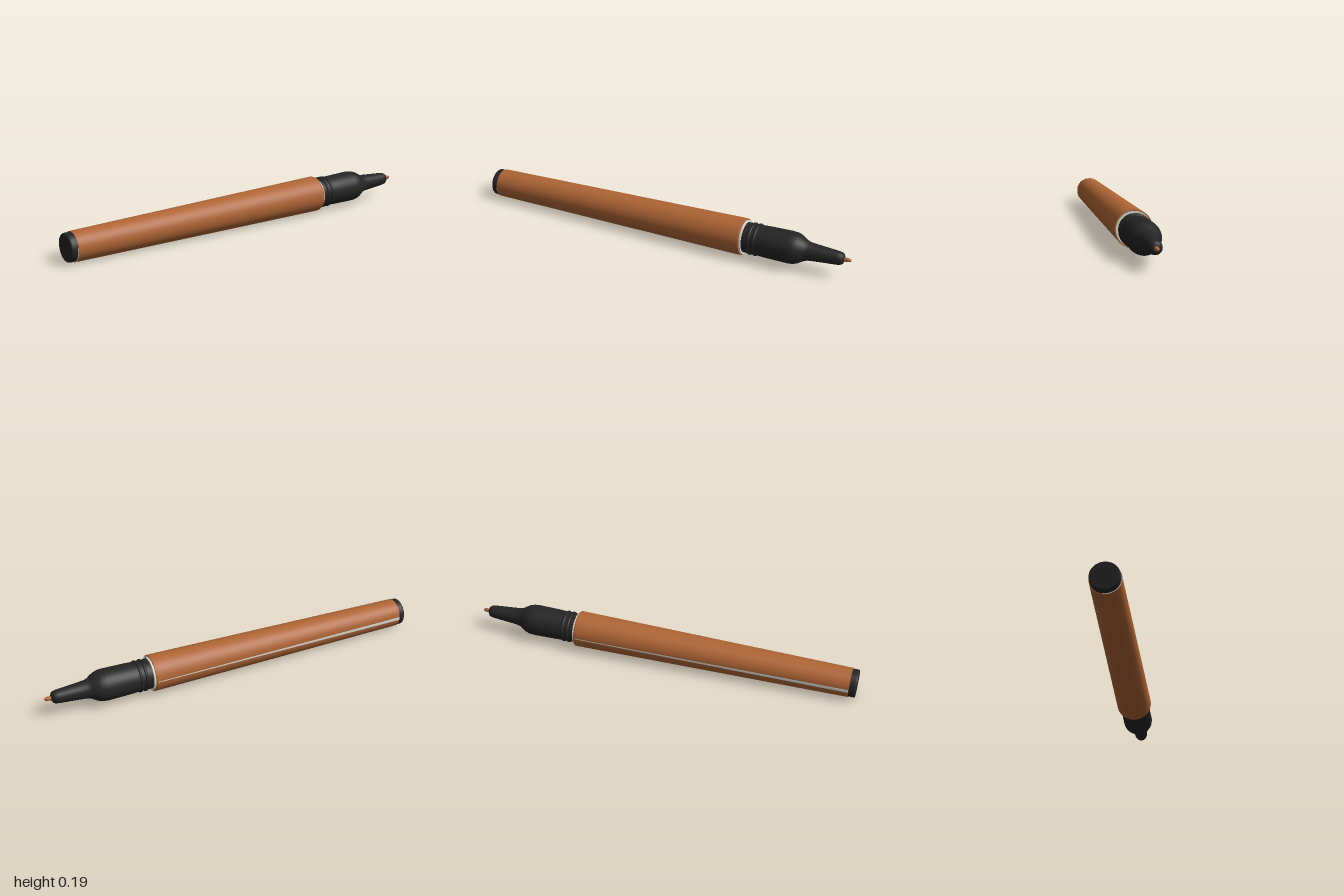
import * as THREE from 'three';

const SIDES = 40;

export function createModel() {
  const model = new THREE.Group();
  model.name = 'pen';

  const material = (name, color) => {
    const m = new THREE.MeshStandardMaterial({ color });
    m.name = name;
    return m;
  };
  const copper = material('copper', 0xb06635);
  const black = material('black', 0x252525);
  const white = material('white', 0xdededa);

  // Turned part: each profile is a list of [radius, distance from the rear end],
  // and a new profile starts a sharp edge
  const turned = (name, mat, profiles, start = 0, arc = Math.PI * 2, sides = SIDES) => {
    const part = new THREE.Group();
    part.name = name;
    for (const profile of profiles) {
      const points = profile.map(([r, s]) => new THREE.Vector2(r, s));
      const mesh = new THREE.Mesh(new THREE.LatheGeometry(points, sides, start, arc), mat);
      mesh.name = name;
      part.add(mesh);
    }
    model.add(part);
    return part;
  };

  // Rear plug
  turned('rearPlug', black, [
    [[0, 0], [0.067, 0]],
    [[0.067, 0], [0.07, 0.003], [0.071, 0.008], [0.071, 0.045]],
  ]);

  // Tapered barrel with flat ends
  turned('barrel', copper, [
    [[0.068, 0.034], [0.0745, 0.034]],
    [[0.0745, 0.034], [0.0938, 1.472]],
    [[0.0938, 1.472], [0.0925, 1.48]],
    [[0.0925, 1.48], [0.07, 1.48]],
  ]);

  // Pale lining showing at both ends of the barrel
  turned('rearLining', white, [[[0.07, 0.031], [0.0738, 0.031]], [[0.0738, 0.031], [0.0738, 0.036]]],
    Math.PI * 0.45, Math.PI * 0.6, 16);
  turned('frontLining', white, [
    [[0.087, 1.476], [0.087, 1.488]],
    [[0.087, 1.488], [0.07, 1.488]],
  ]);

  // Narrowing seam along one side of the barrel
  const seam = turned('seam', white, [[[0.0757, 0.036], [0.095, 1.47]]], Math.PI * 1.5 - 0.12, 0.24, 4);
  const position = seam.children[0].geometry.attributes.position;
  for (let i = 0; i < position.count; i++) {
    const t = position.getY(i) / 1.47;
    position.setZ(i, position.getZ(i) * (1 - 0.8 * t));
  }

  // Grip section with shoulder and nose
  turned('grip', black, [
    [[0.077, 1.47], [0.077, 1.56], [0.079, 1.6], [0.081, 1.72], [0.079, 1.745], [0.073, 1.765],
      [0.061, 1.787], [0.051, 1.802], [0.046, 1.82], [0.043, 1.85], [0.034, 1.965], [0.031, 1.98],
      [0.025, 1.99], [0.014, 1.996], [0, 1.997]],
  ]);

  // Raised rings on the grip
  for (const s of [1.522, 1.55]) {
    turned('gripRing', black, [
      [[0.076, s - 0.008], [0.081, s - 0.005], [0.0825, s], [0.081, s + 0.005], [0.076, s + 0.008]],
    ]);
  }

  // Writing point
  turned('point', copper, [
    [[0.011, 1.985], [0.01, 2.015], [0.007, 2.026], [0, 2.031]],
  ]);

  // Lay the pen along its axis: local y runs from rear end to point, local z faces up
  const rear = new THREE.Vector3(-0.194, 0.0765, 0.985);
  const tip = new THREE.Vector3(0.236, 0.108, -1);
  const along = tip.clone().sub(rear).normalize();
  const side = new THREE.Vector3().crossVectors(along, new THREE.Vector3(0, 1, 0)).normalize();
  const up = new THREE.Vector3().crossVectors(side, along);
  model.quaternion.setFromRotationMatrix(new THREE.Matrix4().makeBasis(side, along, up));
  model.position.copy(rear);

  const root = new THREE.Group();
  root.name = 'model';
  root.add(model);
  return root;
}
